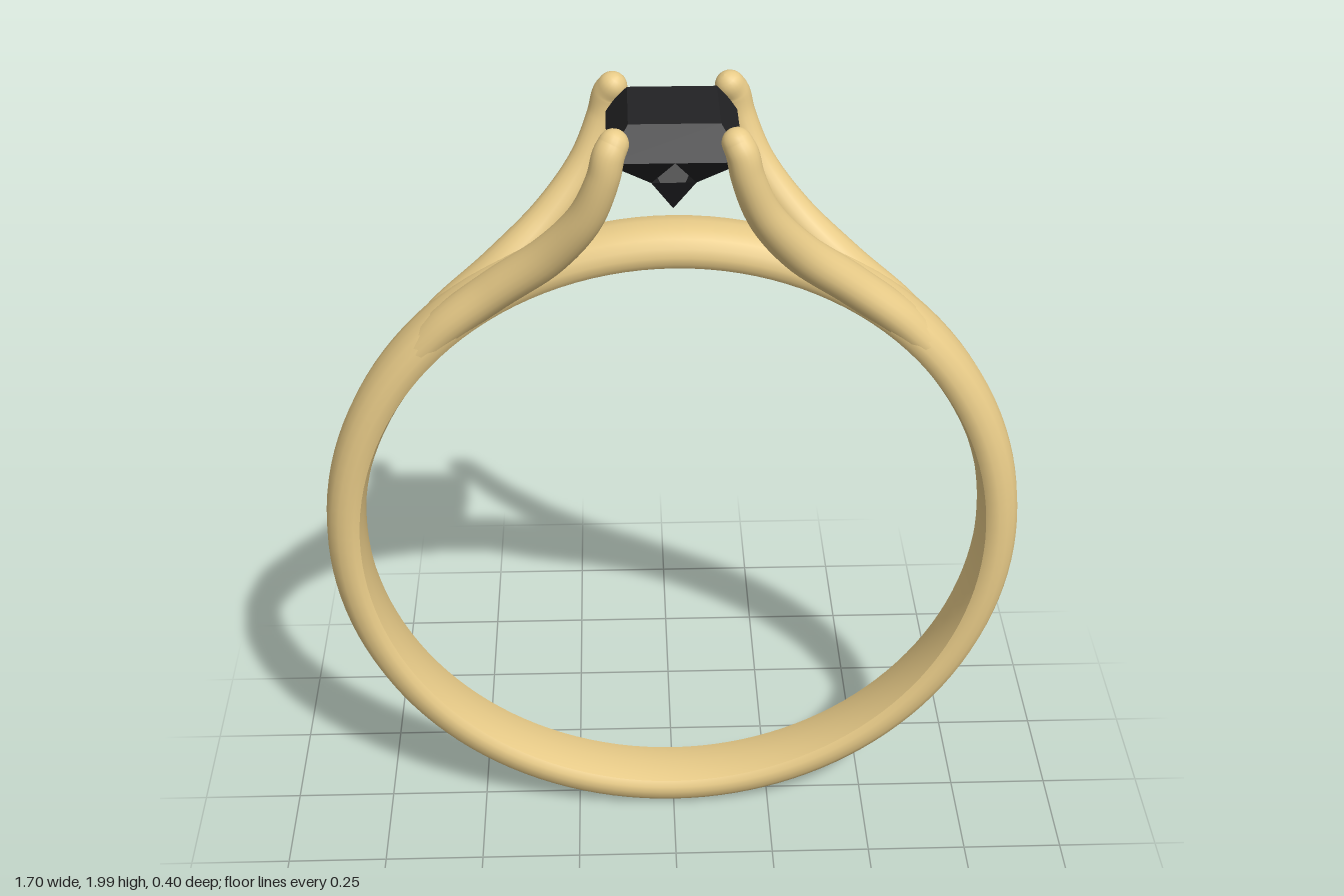
import * as THREE from 'three';
import { toCreasedNormals } from 'three/addons/utils/BufferGeometryUtils.js';

const V = (x, y, z) => new THREE.Vector3(x, y, z);

// Sweep an oval section along a path; radii (x = across, y = in plane), rounded at the tip
function sweep(points, radii, steps = 48, sides = 20) {
  const path = new THREE.CatmullRomCurve3(points);
  const sizes = new THREE.CatmullRomCurve3(radii);
  const rings = [];
  for (let i = 0; i <= steps; i++) {
    const t = i / steps;
    rings.push([path.getPoint(t), path.getTangent(t), sizes.getPoint(t)]);
  }
  const [end, dir, size] = rings[steps];
  for (let k = 1; k <= 6; k++) {
    const a = (k / 6) * Math.PI / 2;
    rings.push([
      end.clone().addScaledVector(dir, size.y * Math.sin(a)),
      dir,
      size.clone().multiplyScalar(Math.max(Math.cos(a), 0.001)),
    ]);
  }
  const pos = [], index = [];
  for (const [p, t, r] of rings) {
    const a = V(0, 0, 1).addScaledVector(t, -t.z).normalize();
    const b = t.clone().cross(a);
    for (let j = 0; j < sides; j++) {
      const u = (j / sides) * Math.PI * 2;
      const q = p.clone().addScaledVector(a, Math.cos(u) * r.x).addScaledVector(b, Math.sin(u) * r.y);
      pos.push(q.x, q.y, q.z);
    }
  }
  for (let i = 0; i < rings.length - 1; i++) {
    for (let j = 0; j < sides; j++) {
      const k = (j + 1) % sides;
      const a = i * sides + j, b = i * sides + k;
      const c = a + sides, d = b + sides;
      index.push(a, b, c, b, d, c);
    }
  }
  const g = new THREE.BufferGeometry();
  g.setAttribute('position', new THREE.Float32BufferAttribute(pos, 3));
  g.setIndex(index);
  g.computeVertexNormals();
  return g;
}

// Square step-cut stone: table, crown, split pavilion with open windows, culet
function stoneGeometry() {
  const pos = [];
  const up = V(0, 1, 0);
  for (let s = 0; s < 4; s++) {
    const tri = (...ps) => ps.forEach((p) => {
      const q = p.clone().applyAxisAngle(up, s * Math.PI / 2);
      pos.push(q.x, q.y, q.z);
    });
    const tl = V(-0.1, 1.985, 0.1), tr = V(0.1, 1.985, 0.1);
    const gl = V(-0.148, 1.915, 0.148), gr = V(0.148, 1.915, 0.148);
    const mid = V(0, 1.915, 0.148);
    const ll = V(-0.05, 1.822, 0.05), lr = V(0.05, 1.822, 0.05);
    tri(V(0, 1.985, 0), tl, tr);
    tri(gl, gr, tr);
    tri(gl, tr, tl);
    tri(gl, ll, mid);
    tri(mid, lr, gr);
    tri(ll, V(0, 1.735, 0), lr);
  }
  const g = new THREE.BufferGeometry();
  g.setAttribute('position', new THREE.Float32BufferAttribute(pos, 3));
  g.computeVertexNormals();
  return g;
}

export function createModel() {
  const ring = new THREE.Group();
  ring.name = 'ring';
  const gold = new THREE.MeshStandardMaterial({ color: 0xe8cb88 });
  const black = new THREE.MeshStandardMaterial({ color: 0x222224, side: THREE.DoubleSide, flatShading: true });
  const add = (name, geometry, material) => {
    const mesh = new THREE.Mesh(geometry, material);
    mesh.name = name;
    ring.add(mesh);
  };

  // Band: rounded outside, nearly flat inside
  const profile = [
    [0.755, 0], [0.757, -0.04], [0.764, -0.068], [0.778, -0.078], [0.795, -0.079],
    [0.815, -0.074], [0.833, -0.06], [0.845, -0.036], [0.85, 0],
  ];
  const back = profile.slice(0, -1).reverse().map(([r, z]) => [r, -z]);
  const outline = [...profile, ...back].map(([r, z]) => new THREE.Vector2(r, z));
  const band = new THREE.LatheGeometry(outline, 128);
  band.rotateX(Math.PI / 2);
  band.translate(0, 0.855, 0);
  add('band', toCreasedNormals(band, 0.7), gold);

  // Four claws that leave the shoulders in pairs and curl over the stone corners
  const path = [
    [0.62, 1.36, 0.018], [0.52, 1.465, 0.03], [0.4, 1.566, 0.05], [0.28, 1.672, 0.098],
    [0.196, 1.785, 0.142], [0.155, 1.89, 0.164], [0.143, 1.942, 0.163], [0.132, 1.964, 0.154],
  ];
  const radii = [
    [0.055, 0.04], [0.056, 0.045], [0.056, 0.046], [0.046, 0.046],
    [0.042, 0.041], [0.037, 0.037], [0.036, 0.036], [0.033, 0.034],
  ].map(([a, b]) => V(a, b, 0));
  for (const sx of [1, -1]) {
    for (const sz of [1, -1]) {
      const name = (sz > 0 ? 'front' : 'back') + (sx > 0 ? 'Left' : 'Right') + 'Claw';
      add(name, sweep(path.map(([x, y, z]) => V(x * sx, y, z * sz)), radii), gold);
    }
  }

  add('stone', stoneGeometry(), black);
  return ring;
}
